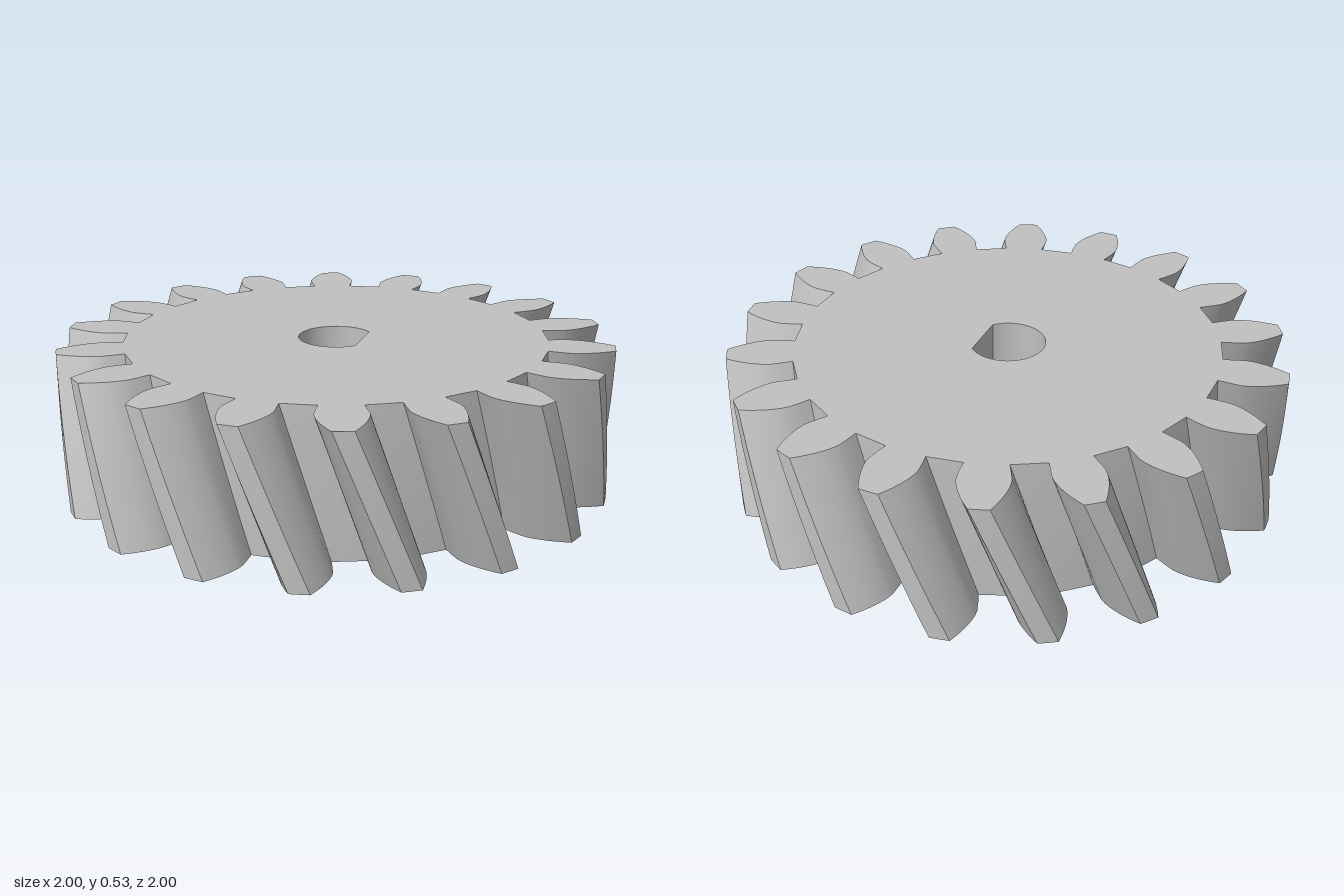
import * as THREE from 'three';
import { toCreasedNormals } from 'three/addons/utils/BufferGeometryUtils.js';

const DEG = Math.PI / 180;
const TEETH = 18;
const HEIGHT = 0.533;
const TWIST = -12.3 * DEG;   // helix turn from bottom face to top face
const BASE_R = 0.846;        // involute base circle

const polar = (r, a) => new THREE.Vector2(r * Math.cos(a), r * Math.sin(a));

// Half the angle a tooth covers at radius r on its involute flank
function halfAngle(r) {
  const inv = (t) => Math.tan(t) - t;
  return 5 * DEG + inv(20 * DEG) - inv(Math.acos(Math.min(1, BASE_R / r)));
}

// Gear outline, counter-clockwise, turned by the given angle
function gearOutline(turn) {
  const flank = [[0.767, 5.4 * DEG], [0.8, 5.66 * DEG]];
  for (let i = 0; i <= 7; i++) {
    const r = BASE_R + (1 - BASE_R) * (i / 7);
    flank.push([r, halfAngle(r)]);
  }
  const points = [];
  for (let k = 0; k < TEETH; k++) {
    const mid = turn + (k * 2 * Math.PI) / TEETH;
    flank.forEach(([r, a]) => points.push(polar(r, mid - a)));
    points.push(polar(1, mid));
    [...flank].reverse().forEach(([r, a]) => points.push(polar(r, mid + a)));
  }
  return points;
}

// D-shaped bore with its flat on the +x side
function boreOutline() {
  const r = 0.136, start = Math.acos(0.099 / r), n = 40;
  const points = [];
  for (let i = 0; i <= n; i++) {
    points.push(polar(r, start + (2 * Math.PI - 2 * start) * (i / n)));
  }
  return points;
}

// Wall swept upward from a closed outline, turning as it rises
function sweptWall(outline, twist, steps) {
  const n = outline.length, pos = [], index = [];
  for (let s = 0; s <= steps; s++) {
    const t = s / steps, c = Math.cos(twist * t), d = Math.sin(twist * t);
    for (const p of outline) {
      pos.push(p.x * c - p.y * d, HEIGHT * t, -(p.x * d + p.y * c));
    }
  }
  for (let s = 0; s < steps; s++) {
    for (let i = 0; i < n; i++) {
      const a = s * n + i, b = s * n + ((i + 1) % n);
      index.push(a, b, b + n, a, b + n, a + n);
    }
  }
  const geo = new THREE.BufferGeometry();
  geo.setAttribute('position', new THREE.Float32BufferAttribute(pos, 3));
  geo.setIndex(index);
  return toCreasedNormals(geo, 0.5);
}

// Flat end face with the bore cut out
function endFace(turn) {
  const shape = new THREE.Shape(gearOutline(turn));
  shape.holes.push(new THREE.Path(boreOutline()));
  return new THREE.ShapeGeometry(shape).rotateX(-Math.PI / 2);
}

// Reverse the winding so a face looks the other way
function flipped(geo) {
  geo.index.array.reverse();
  const normal = geo.attributes.normal;
  for (let i = 0; i < normal.count; i++) normal.setY(i, -normal.getY(i));
  return geo;
}

export function createModel() {
  const group = new THREE.Group();
  group.name = 'helicalGear';
  const steel = new THREE.MeshStandardMaterial({ color: 0xc0c0c0 });
  steel.name = 'lightGrey';

  const add = (name, geo) => {
    const mesh = new THREE.Mesh(geo, steel);
    mesh.name = name;
    group.add(mesh);
  };

  add('helicalTeeth', sweptWall(gearOutline(0), TWIST, 10));
  add('boreWall', sweptWall(boreOutline().reverse(), 0, 1));
  add('topFace', endFace(TWIST).translate(0, HEIGHT, 0));
  add('bottomFace', flipped(endFace(0)));
  return group;
}
